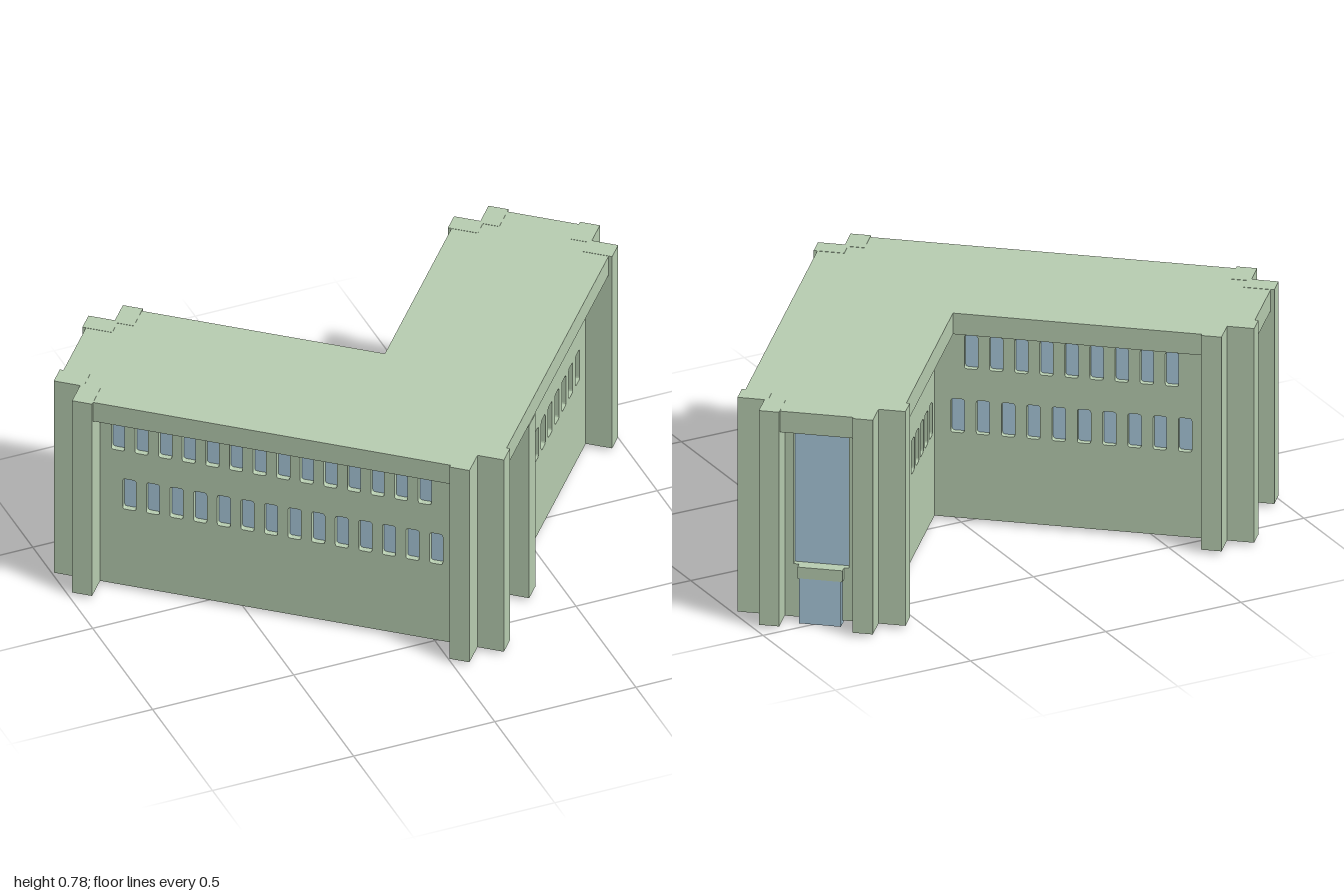
import * as THREE from 'three';

const green = new THREE.MeshStandardMaterial({ color: 0xb9cfb2 });
const blue = new THREE.MeshStandardMaterial({ color: 0xaacbdd });

// Plan sizes: x runs along the long wing, z along the short wing
const LONG = 1.355, LONG_W = 0.387, SHORT = 1.275, SHORT_W = 0.38;
const BASE = 0.012, EAVES = 0.7, TOP = 0.775;
const OVERHANG = 0.078, PILLAR_OUT = 0.09, PILLAR_W = 0.068;

function add(parent, name, geometry, material = green) {
  const mesh = new THREE.Mesh(geometry, material);
  mesh.name = name;
  parent.add(mesh);
  return mesh;
}

// Box between two opposite corners
function boxBetween(parent, name, a, b, material) {
  const size = a.map((v, i) => Math.abs(b[i] - v));
  const mesh = add(parent, name, new THREE.BoxGeometry(...size), material);
  mesh.position.set(...a.map((v, i) => (v + b[i]) / 2));
}

// Horizontal slab from a plan outline
function slab(parent, name, points, y0, y1) {
  const shape = new THREE.Shape(points.map(([x, z]) => new THREE.Vector2(x, z)));
  const geometry = new THREE.ExtrudeGeometry(shape, { depth: y1 - y0, bevelEnabled: false });
  geometry.rotateX(Math.PI / 2).translate(0, y1, 0);
  add(parent, name, geometry);
}

function roundedHole({ s, y, w, h, r }) {
  const p = new THREE.Path(), x0 = s - w / 2, x1 = s + w / 2, y0 = y - h / 2, y1 = y + h / 2;
  p.moveTo(x0 + r, y0);
  p.lineTo(x1 - r, y0);
  if (r) p.quadraticCurveTo(x1, y0, x1, y0 + r);
  p.lineTo(x1, y1 - r);
  if (r) p.quadraticCurveTo(x1, y1, x1 - r, y1);
  p.lineTo(x0 + r, y1);
  if (r) p.quadraticCurveTo(x0, y1, x0, y1 - r);
  p.lineTo(x0, y0 + r);
  if (r) p.quadraticCurveTo(x0, y0, x0 + r, y0);
  return p;
}

// Wall panel with recessed windows; its outer face lies on local z = 0
function wall(parent, name, x, z, angle, length, windows) {
  const group = new THREE.Group();
  group.name = name;
  group.position.set(x, 0, z);
  group.rotation.y = angle;
  parent.add(group);
  const shape = new THREE.Shape([[0, BASE], [length, BASE], [length, EAVES], [0, EAVES]]
    .map(([px, py]) => new THREE.Vector2(px, py)));
  shape.holes = windows.map(roundedHole);
  const panel = new THREE.ExtrudeGeometry(shape, { depth: 0.03, bevelEnabled: false, curveSegments: 3 });
  add(group, name + 'Panel', panel.translate(0, 0, -0.03));
  for (const { s, y, w, h } of windows) {
    const pane = add(group, 'windowPane', new THREE.BoxGeometry(w, h, 0.008), blue);
    pane.position.set(s, y, -0.024);
  }
}

// Evenly spaced narrow windows between two distances along a wall
function row(first, last, count, y) {
  return Array.from({ length: count }, (_, i) => ({
    s: first + (last - first) * i / (count - 1), y, w: 0.045, h: 0.12, r: 0.009,
  }));
}

export function createModel() {
  const model = new THREE.Group();
  model.name = 'building';
  const body = new THREE.Group();
  body.name = 'buildingBody';
  body.position.set(0.107, 0, 0.604);
  body.rotation.y = THREE.MathUtils.degToRad(140);
  model.add(body);

  // Floor and overhanging flat roof with notched corners
  slab(body, 'floor', [[0, 0], [LONG, 0], [LONG, LONG_W], [SHORT_W, LONG_W], [SHORT_W, SHORT], [0, SHORT]],
    BASE, BASE + 0.02);
  const o = OVERHANG;
  slab(body, 'roof', [
    [0, 0], [0, -o], [LONG, -o], [LONG, 0], [LONG + o, 0], [LONG + o, LONG_W], [LONG, LONG_W],
    [LONG, LONG_W + o], [SHORT_W + o, LONG_W + o], [SHORT_W + o, SHORT], [SHORT_W, SHORT],
    [SHORT_W, SHORT + o], [0, SHORT + o], [0, SHORT], [-o, SHORT], [-o, 0],
  ], EAVES, TOP);

  // Walls
  const up = 0.605, low = 0.375, q = Math.PI / 2;
  wall(body, 'longOuterWall', LONG, 0, Math.PI, LONG,
    [...row(LONG - 1.226, LONG - 0.18, 14, up), ...row(LONG - 1.187, LONG - 0.141, 14, low)]);
  wall(body, 'shortOuterWall', 0, 0, -q, SHORT,
    [...row(0.427, 1.116, 10, up), ...row(0.427, 1.116, 10, low)]);
  wall(body, 'shortInnerWall', SHORT_W, SHORT, q, SHORT - LONG_W,
    [...row(SHORT - 1.155, SHORT - 0.445, 11, up), ...row(SHORT - 1.155, SHORT - 0.445, 11, low)]);
  wall(body, 'longInnerWall', SHORT_W, LONG_W, 0, LONG - SHORT_W,
    [...row(0.502 - SHORT_W, 1.171 - SHORT_W, 9, up), ...row(0.457 - SHORT_W, 1.215 - SHORT_W, 10, low)]);
  const tall = (s) => [{ s, y: 0.4325, w: 0.185, h: 0.465, r: 0 }];
  wall(body, 'shortEndWall', 0, SHORT, 0, SHORT_W, tall(SHORT_W / 2));
  wall(body, 'longEndWall', LONG, LONG_W, q, LONG_W, tall(LONG_W / 2));

  // Door and sill on the end of the short wing
  const mid = SHORT_W / 2;
  boxBetween(body, 'door', [mid - 0.07, 0, SHORT - 0.02], [mid + 0.07, 0.16, SHORT + 0.025], blue);
  boxBetween(body, 'doorLintel', [mid - 0.075, 0.16, SHORT - 0.02], [mid + 0.075, 0.2, SHORT + 0.025]);

  // Pairs of pillars at the outer corners: [x, z, outward x, outward z]
  const corners = [[0, 0, -1, -1], [LONG, 0, 1, -1], [LONG, LONG_W, 1, 1],
    [SHORT_W, SHORT, 1, 1], [0, SHORT, -1, 1]];
  const inset = 0.012, top = TOP + 0.001;
  for (const [x, z, sx, sz] of corners) {
    boxBetween(body, 'cornerPillar', [x - sx * inset, BASE, z], [x + sx * PILLAR_OUT, top, z - sz * PILLAR_W]);
    boxBetween(body, 'cornerPillar', [x, BASE, z - sz * inset], [x - sx * PILLAR_W, top, z + sz * PILLAR_OUT]);
  }

  // Single pillar under the eaves of the short outer wall
  boxBetween(body, 'wallPillar', [-OVERHANG - 0.002, BASE, 0.315], [0.01, EAVES, 0.387]);
  return model;
}
